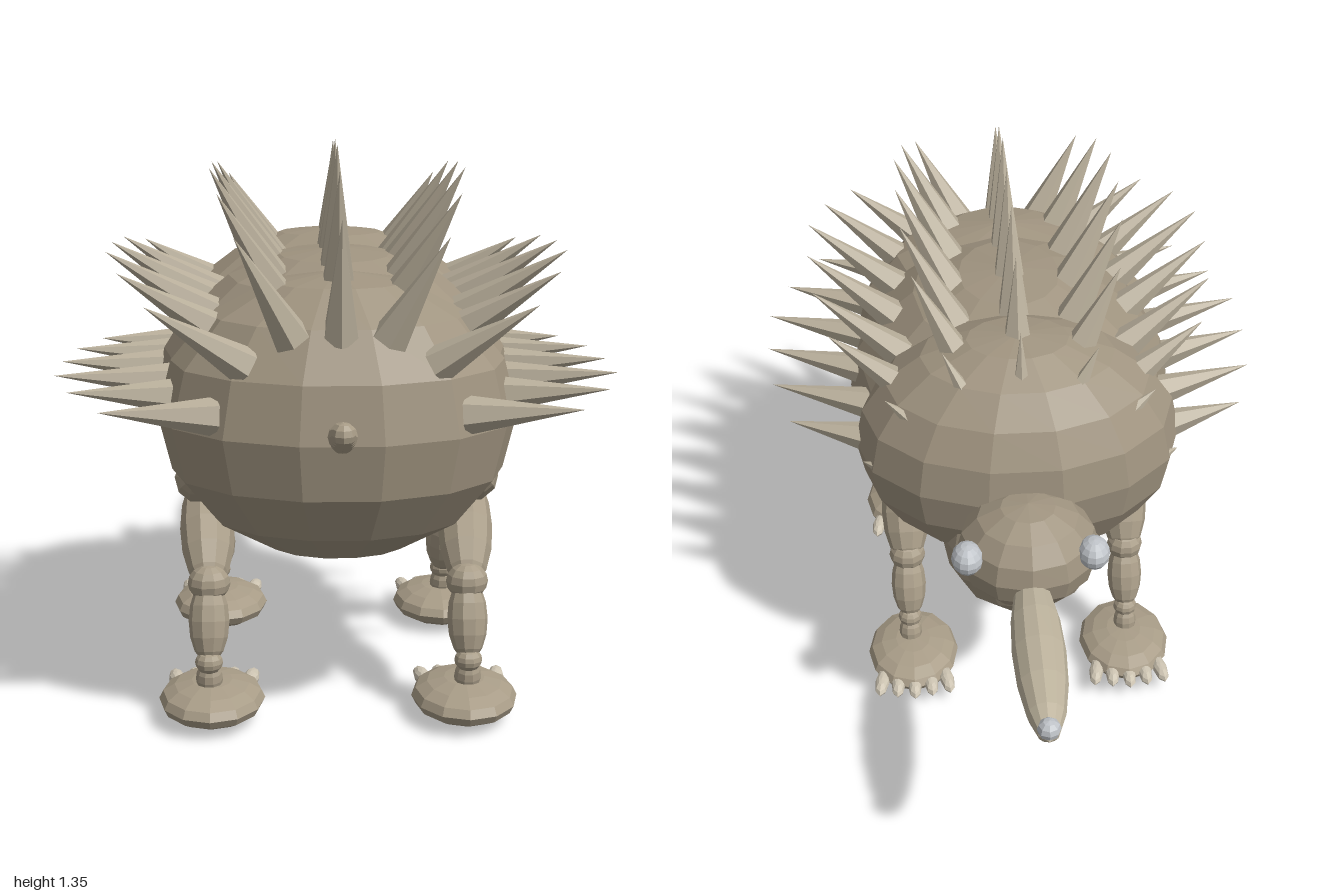
import * as THREE from 'three';

const paint = (name, color) => {
  const m = new THREE.MeshStandardMaterial({ color, flatShading: true });
  m.name = name;
  return m;
};
const UP = new THREE.Vector3(0, 1, 0);

export function createModel() {
  const hide = paint('hide', 0xa09480);
  const skin = paint('limb skin', 0xa89c87);
  const quill = paint('quill', 0xb8ae9a);
  const snoutTan = paint('snout tan', 0xbdb39d);
  const claw = paint('claw', 0xcdc4b2);
  const pale = paint('pale grey', 0xbfc3c8);
  const model = new THREE.Group();
  model.name = 'spinyAnimal';

  // Ellipsoid at a centre with three radii
  function blob(parent, name, mat, c, r, w = 10, h = 8, tilt = 0) {
    const mesh = new THREE.Mesh(new THREE.SphereGeometry(1, w, h), mat);
    mesh.name = name;
    mesh.position.set(...c);
    mesh.scale.set(...r);
    mesh.rotation.x = tilt;
    parent.add(mesh);
    return mesh;
  }
  // Aim a mesh's y axis from a to b, centred between them
  function span(mesh, a, b) {
    const d = b.clone().sub(a);
    mesh.position.copy(a).addScaledVector(d, 0.5);
    mesh.quaternion.setFromUnitVectors(UP, d.normalize());
  }
  // Long ellipsoid reaching between two points
  function limb(parent, name, mat, a, b, r) {
    const p = new THREE.Vector3(...a), q = new THREE.Vector3(...b);
    const mesh = blob(parent, name, mat, [0, 0, 0], [r, p.distanceTo(q) / 2, r], 10, 8);
    span(mesh, p, q);
    return mesh;
  }

  // Body
  blob(model, 'rump', hide, [0, 0.735, 0.6], [0.42, 0.34, 0.325], 14, 8);
  blob(model, 'midBody', hide, [0, 0.73, 0.33], [0.44, 0.362, 0.54], 14, 10);
  blob(model, 'shoulders', hide, [0, 0.78, 0], [0.425, 0.32, 0.315], 14, 10);
  blob(model, 'throat', hide, [0, 0.57, -0.155], [0.21, 0.2, 0.24], 12, 8, 0.35);

  // Head, snout and eyes
  blob(model, 'head', hide, [0, 0.69, -0.35], [0.18, 0.138, 0.172], 12, 8);
  const snout = blob(model, 'snout', snoutTan, [0, 0.655, -0.7], [0.065, 0.29, 0.06], 12, 8);
  snout.rotation.x = Math.PI / 2;
  blob(model, 'nose', pale, [0, 0.68, -0.972], [0.028, 0.026, 0.028], 8, 6);
  for (const s of [-1, 1]) {
    blob(model, s > 0 ? 'eyeRight' : 'eyeLeft', pale, [s * 0.156, 0.737, -0.44], [0.04, 0.04, 0.048], 12, 8);
  }

  // Tail beads
  for (let i = 0; i < 4; i++) {
    const r = 0.036 - i * 0.003;
    blob(model, 'tailBead', skin, [0, 0.752 + i * 0.008, 0.9 + i * 0.025], [r, r, r], 8, 6);
  }

  // Quill rows: base z, tip z, base radius, tip radius (from the body axis), thickness
  const rows = [
    [0.81, 0.88, 0.2, 0.475, 0.045],
    [0.635, 0.716, 0.27, 0.56, 0.046],
    [0.475, 0.555, 0.29, 0.607, 0.047],
    [0.31, 0.39, 0.305, 0.607, 0.047],
    [0.15, 0.22, 0.295, 0.59, 0.046],
    [0, 0.056, 0.305, 0.54, 0.042],
    [-0.137, -0.105, 0.27, 0.42, 0.024],
  ];
  const quills = new THREE.Group();
  quills.name = 'quills';
  model.add(quills);
  rows.forEach(([zb, zt, rb, rt, w], row) => {
    for (let k = -3; k <= 3; k++) {
      const a = k * THREE.MathUtils.degToRad(28);
      const f = Math.abs(k) / 3;
      const at = (r, z) => new THREE.Vector3(Math.sin(a) * r, 0.75 + Math.cos(a) * r, z);
      const base = at(rb + 0.08 * f, zb);
      const tip = at(rt + (row === 6 ? -0.01 : 0.06) * f, zt);
      const mesh = new THREE.Mesh(new THREE.ConeGeometry(w, base.distanceTo(tip), 6), quill);
      mesh.name = 'quill';
      span(mesh, base, tip);
      quills.add(mesh);
    }
  });

  // Foot with five claws, pointing to -z
  function foot(leg, x, z, s) {
    blob(leg, 'foot', skin, [x, 0.057, z], [0.126, 0.05, 0.158], 12, 8);
    for (let i = -2; i <= 2; i++) {
      const c = blob(leg, 'claw', claw, [x + i * 0.045, 0.055, z - 0.14 + Math.abs(i) * 0.008],
        [0.02, 0.018, 0.055], 8, 6);
      c.rotation.y = -i * 0.08;
    }
  }
  for (const s of [-1, 1]) {
    const side = s > 0 ? 'Right' : 'Left';

    // Head-end legs
    const front = new THREE.Group();
    front.name = 'frontLeg' + side;
    model.add(front);
    blob(front, 'shoulderJoint', skin, [s * 0.325, 0.59, 0.06], [0.06, 0.055, 0.075]);
    limb(front, 'upperArm', skin, [s * 0.325, 0.6, 0.03], [s * 0.3, 0.5, 0.2], 0.055);
    limb(front, 'forearm', skin, [s * 0.305, 0.555, 0.21], [s * 0.305, 0.315, 0.045], 0.066);
    blob(front, 'knee', skin, [s * 0.305, 0.335, 0.06], [0.05, 0.045, 0.048]);
    limb(front, 'shin', skin, [s * 0.305, 0.345, 0.07], [s * 0.305, 0.155, -0.005], 0.048);
    blob(front, 'ankle', skin, [s * 0.305, 0.16, -0.005], [0.033, 0.028, 0.033]);
    limb(front, 'heel', skin, [s * 0.305, 0.16, -0.005], [s * 0.305, 0.07, -0.025], 0.032);
    foot(front, s * 0.3, -0.035, s);

    // Tail-end legs
    const hind = new THREE.Group();
    hind.name = 'hindLeg' + side;
    model.add(hind);
    limb(hind, 'hip', skin, [s * 0.335, 0.59, 0.62], [s * 0.325, 0.505, 0.34], 0.06);
    blob(hind, 'hipJoint', skin, [s * 0.32, 0.515, 0.37], [0.048, 0.045, 0.045]);
    limb(hind, 'thigh', skin, [s * 0.318, 0.54, 0.37], [s * 0.305, 0.32, 0.65], 0.066);
    blob(hind, 'knee', skin, [s * 0.305, 0.335, 0.635], [0.05, 0.045, 0.048]);
    limb(hind, 'shin', skin, [s * 0.305, 0.345, 0.632], [s * 0.305, 0.155, 0.69], 0.048);
    blob(hind, 'ankle', skin, [s * 0.305, 0.16, 0.693], [0.033, 0.028, 0.033]);
    limb(hind, 'heel', skin, [s * 0.305, 0.16, 0.69], [s * 0.305, 0.07, 0.675], 0.032);
    foot(hind, s * 0.3, 0.655, s);
  }
  return model;
}
